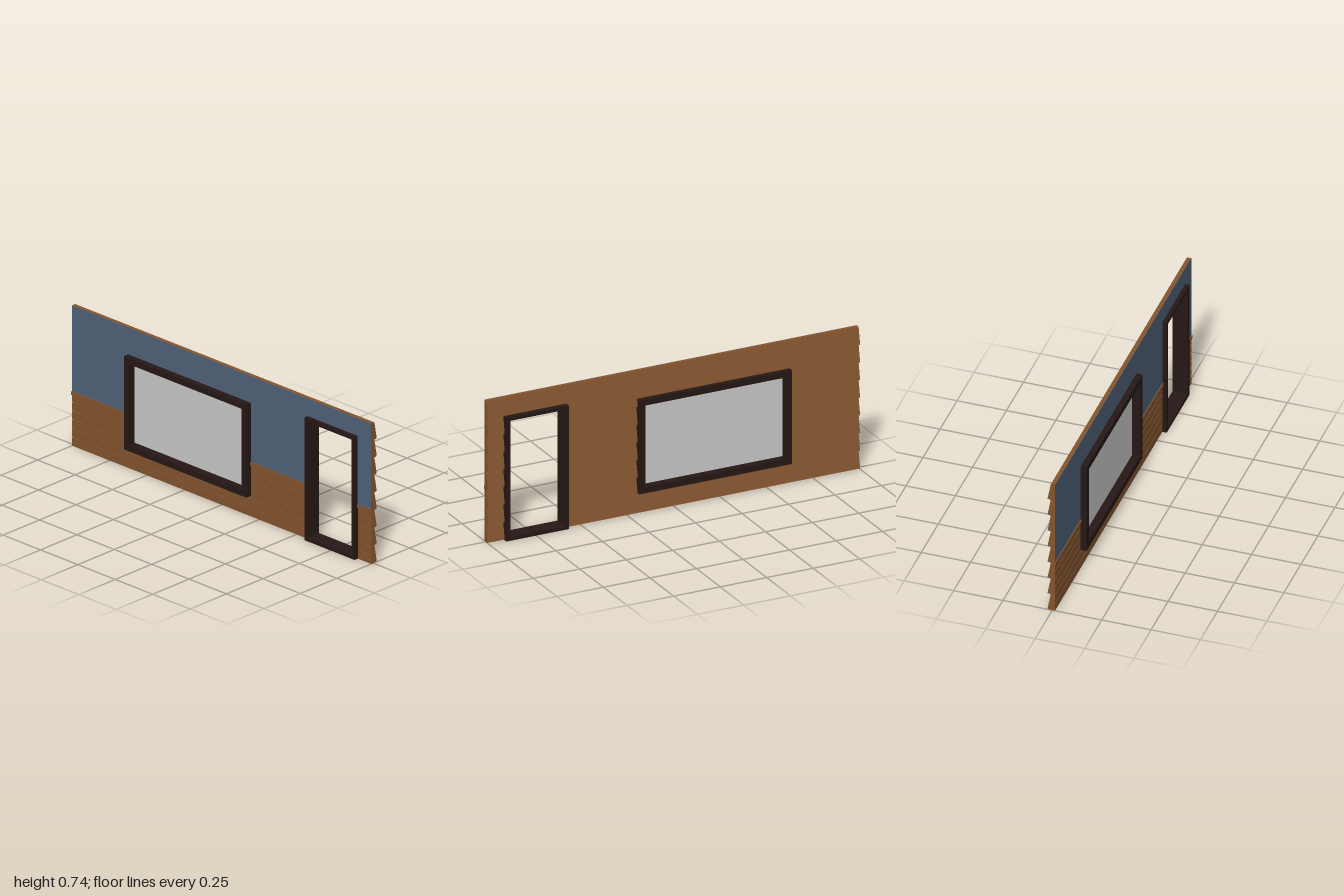
import * as THREE from 'three';

const WIN = { x0: -0.625, x1: 0.195, y0: 0.107, y1: 0.595 };
const DOOR = { x0: 0.575, x1: 0.91, y0: 0, y1: 0.643 };
const H = 0.735, RAIL_TOP = 0.286, FRONT = 0.0135;
const BOARDS = 8, STEP = H / BOARDS;

const mat = (color) => new THREE.MeshStandardMaterial({ color, flatShading: true });

// Outside face: overlapping slanted boards, as [z, y] from bottom to top
function sidingLine() {
  const pts = [];
  for (let i = 0; i < BOARDS; i++) {
    pts.push([-0.008, i * STEP], [-0.0243, i * STEP + 0.004]);
  }
  pts.push([-0.008, H]);
  return pts;
}

// Inside face: grooved wainscot, chair rail, flat upper wall
function insideLine() {
  const pts = [[FRONT, 0]];
  for (let i = 1; i <= 5; i++) {
    const y = i * 0.0457;
    pts.push([FRONT, y - 0.0025], [0.0095, y - 0.0025], [0.0095, y + 0.0025], [FRONT, y + 0.0025]);
  }
  pts.push([FRONT, 0.268], [0.0195, 0.268], [0.0195, RAIL_TOP], [FRONT, RAIL_TOP], [FRONT, H]);
  return pts;
}

// Keep the part of a rising line between two heights
function clip(line, y0, y1) {
  const at = (y) => {
    for (let i = 1; i < line.length; i++) {
      const [za, ya] = line[i - 1], [zb, yb] = line[i];
      if (yb > ya && y >= ya && y <= yb) return [za + (zb - za) * (y - ya) / (yb - ya), y];
    }
    return [line[line.length - 1][0], y];
  };
  const inner = line.filter(([, y]) => y > y0 + 1e-5 && y < y1 - 1e-5);
  return [at(y0), ...inner, at(y1)];
}

// Wall profile swept along x
function wallPiece(x0, x1, y0, y1, material) {
  const outline = [...clip(insideLine(), y0, y1), ...clip(sidingLine(), y0, y1).reverse()];
  const shape = new THREE.Shape(outline.map(([z, y]) => new THREE.Vector2(-z, y)));
  const geo = new THREE.ExtrudeGeometry(shape, { depth: x1 - x0, bevelEnabled: false });
  geo.rotateY(Math.PI / 2).translate(x0, 0, 0);
  const mesh = new THREE.Mesh(geo, material);
  mesh.name = 'wallSection';
  return mesh;
}

function box(name, x0, x1, y0, y1, z0, z1, material) {
  const mesh = new THREE.Mesh(new THREE.BoxGeometry(x1 - x0, y1 - y0, z1 - z0), material);
  mesh.position.set((x0 + x1) / 2, (y0 + y1) / 2, (z0 + z1) / 2);
  mesh.name = name;
  return mesh;
}

// Rectangular frame with an open middle
function frame(name, r, side, rail, z0, z1, material) {
  const shape = new THREE.Shape([[r.x0, r.y0], [r.x1, r.y0], [r.x1, r.y1], [r.x0, r.y1]]
    .map((p) => new THREE.Vector2(...p)));
  shape.holes.push(new THREE.Path([
    [r.x0 + side, r.y0 + rail], [r.x0 + side, r.y1 - rail],
    [r.x1 - side, r.y1 - rail], [r.x1 - side, r.y0 + rail],
  ].map((p) => new THREE.Vector2(...p))));
  const geo = new THREE.ExtrudeGeometry(shape, { depth: z1 - z0, bevelEnabled: false });
  geo.translate(0, 0, z0);
  const mesh = new THREE.Mesh(geo, material);
  mesh.name = name;
  return mesh;
}

export function createModel() {
  const wood = mat(0x85552f), paint = mat(0x50637a), trim = mat(0x261815), glass = mat(0xcccccc);
  const model = new THREE.Group();
  model.name = 'wallPanel';

  // Wall pieces around the two openings, hidden edges tucked into the frames
  const t = 0.01;
  const wx0 = WIN.x0 + t, wx1 = WIN.x1 - t, dx0 = DOOR.x0 + t, dx1 = DOOR.x1 - t;
  const pieces = [
    [-1, wx0, 0, H],
    [wx0, wx1, 0, WIN.y0 + t],
    [wx0, wx1, WIN.y1 - t, H],
    [wx1, dx0, 0, H],
    [dx0, dx1, DOOR.y1 - t, H],
    [dx1, 1, 0, H],
  ];
  const wall = new THREE.Group();
  wall.name = 'woodWall';
  const upper = new THREE.Group();
  upper.name = 'paintedUpperWall';
  for (const [x0, x1, y0, y1] of pieces) {
    wall.add(wallPiece(x0, x1, y0, y1, wood));
    // Thin painted sheet above the chair rail
    if (y1 > RAIL_TOP) {
      upper.add(box('paintedSheet', x0, x1, Math.max(y0, RAIL_TOP), y1, FRONT - 0.0005, FRONT + 0.0005, paint));
    }
  }
  model.add(wall, upper);

  // Window with pane, and open doorway with sill
  model.add(frame('windowFrame', WIN, 0.032, 0.032, -0.0425, 0.044, trim));
  model.add(box('windowPane', WIN.x0 + 0.02, WIN.x1 - 0.02, WIN.y0 + 0.02, WIN.y1 - 0.02, -0.003, 0.003, glass));
  model.add(frame('doorFrame', DOOR, 0.021, 0.019, -0.0425, 0.0355, trim));
  return model;
}
